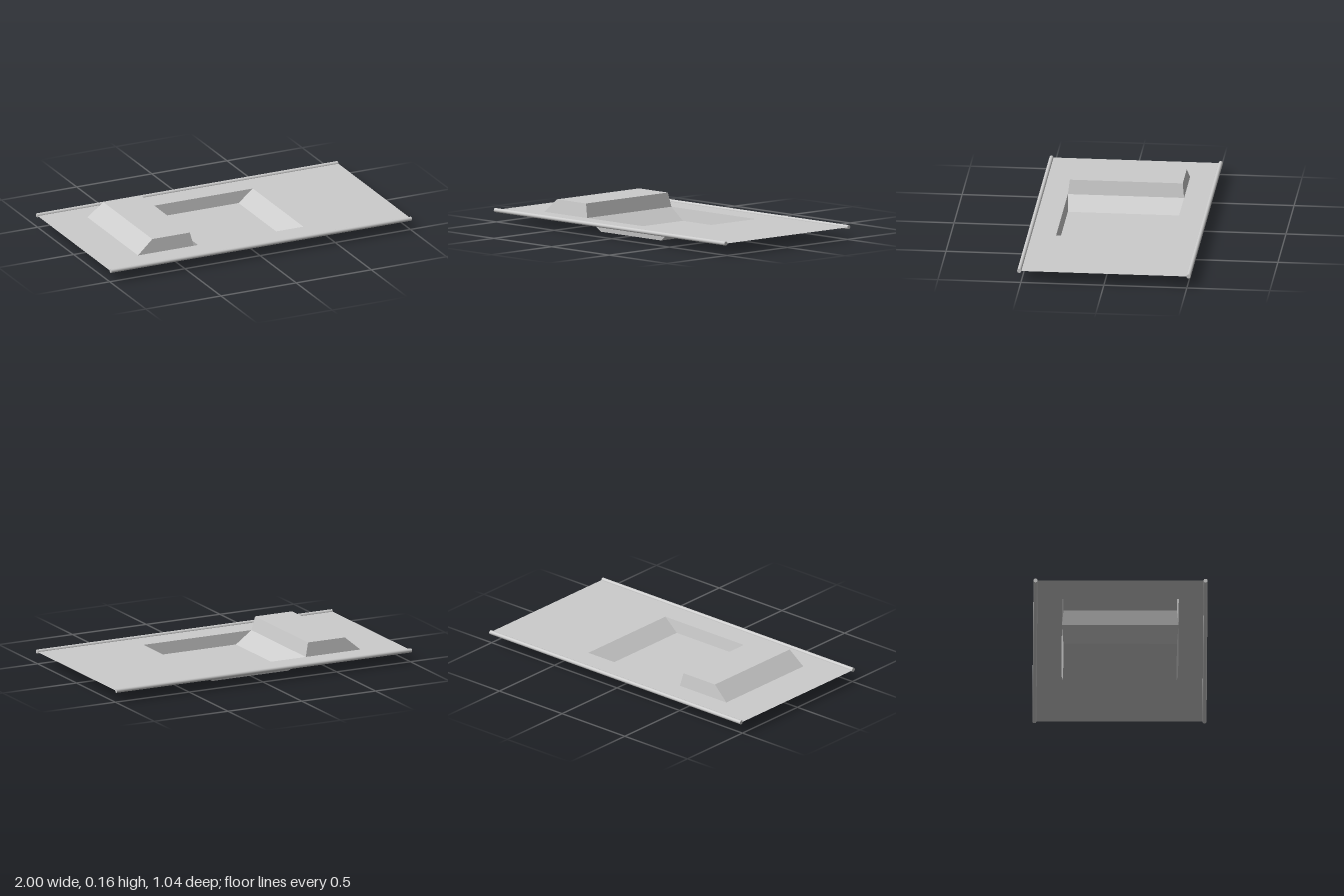
import * as THREE from 'three';

const SHEET_Y = 0.073, HALF_X = 1, HALF_Z = 0.51;
const RIM_Z = 0.35, FLOOR_Z = 0.34, ROD_R = 0.0125;

const material = new THREE.MeshStandardMaterial({ color: 0xcccccc, side: THREE.DoubleSide });

function add(group, name, geometry) {
  const mesh = new THREE.Mesh(geometry, material);
  mesh.name = name;
  group.add(mesh);
  return mesh;
}

// Corners of a rectangle at height y, counter-clockwise seen from above
function rectangle(x0, x1, z, y) {
  return [[x0, y, z], [x1, y, z], [x1, y, -z], [x0, y, -z]];
}

// Open pressed pan: four sloping walls from the rim to a flat panel
function pressedPan(rimX, panelX, panelY) {
  const rim = rectangle(rimX[0], rimX[1], RIM_Z, SHEET_Y);
  const panel = rectangle(panelX[0], panelX[1], FLOOR_Z, panelY);
  const points = [];
  const quad = (a, b, c, d) => points.push(...a, ...b, ...c, ...a, ...c, ...d);
  quad(...panel);
  for (let i = 0; i < 4; i++) {
    const j = (i + 1) % 4;
    quad(rim[i], rim[j], panel[j], panel[i]);
  }
  const geometry = new THREE.BufferGeometry();
  geometry.setAttribute('position', new THREE.Float32BufferAttribute(points, 3));
  geometry.computeVertexNormals();
  return geometry;
}

export function createModel() {
  const group = new THREE.Group();
  group.name = 'pressedSheet';

  // Flat sheet with one opening for the raised and sunken pans
  const outline = rectangle(-HALF_X, HALF_X, HALF_Z, 0).map(([x, , z]) => new THREE.Vector2(x, -z));
  const opening = rectangle(-0.74, 0.36, RIM_Z, 0).map(([x, , z]) => new THREE.Vector2(x, -z));
  const shape = new THREE.Shape(outline);
  shape.holes.push(new THREE.Path(opening.reverse()));
  add(group, 'sheet', new THREE.ShapeGeometry(shape).rotateX(-Math.PI / 2).translate(0, SHEET_Y, 0));

  // Raised and sunken pans share the edge at x = -0.37
  add(group, 'raisedPan', pressedPan([-0.74, -0.37], [-0.64, -0.39], 0.158));
  add(group, 'sunkenPan', pressedPan([-0.37, 0.36], [-0.26, 0.26], 0));

  // Round rods along both long edges
  for (const [name, side] of [['frontRod', 1], ['backRod', -1]]) {
    const rod = new THREE.CylinderGeometry(ROD_R, ROD_R, 2 * HALF_X, 24).rotateZ(Math.PI / 2);
    add(group, name, rod).position.set(0, SHEET_Y, side * HALF_Z);
  }
  return group;
}
